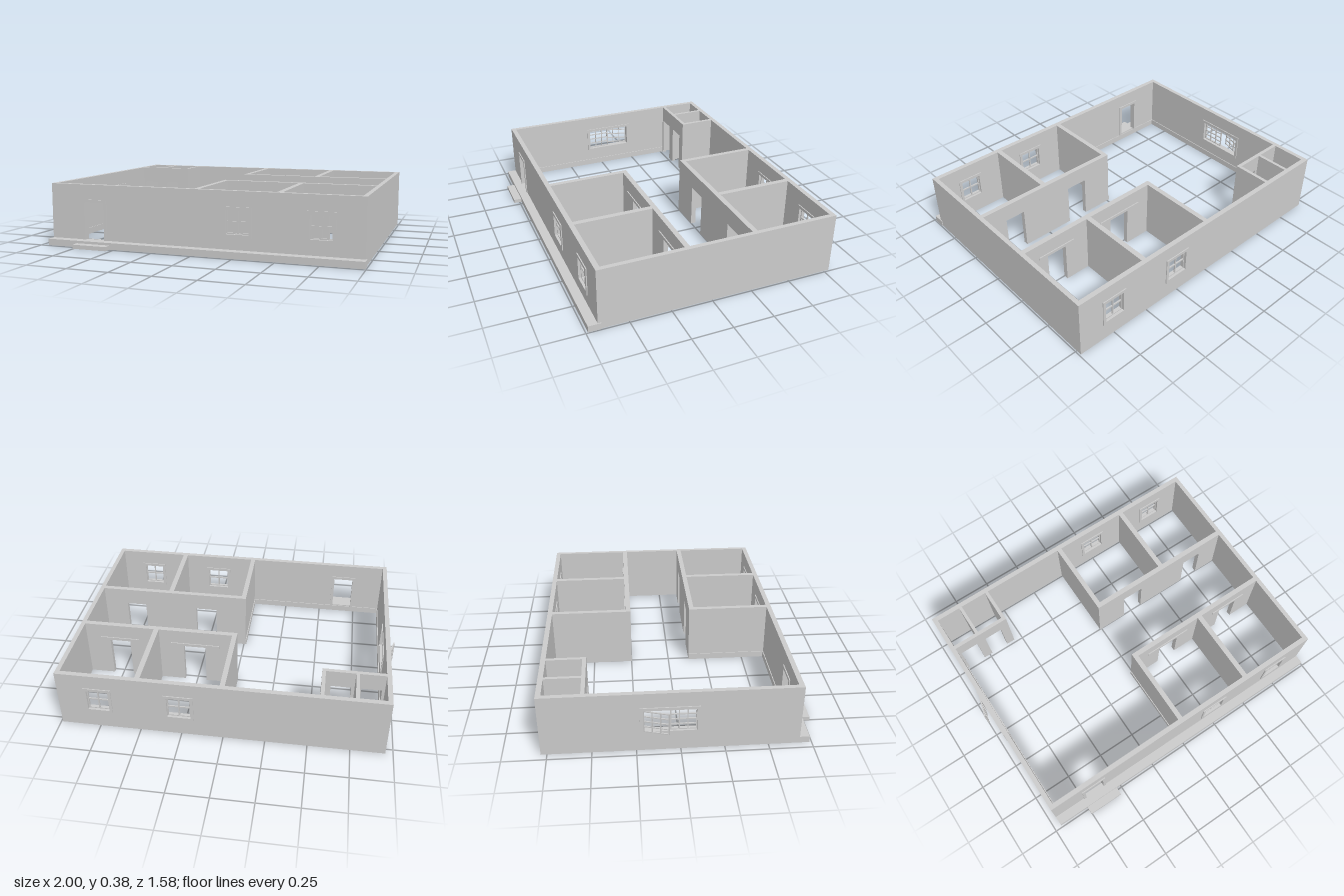
import * as THREE from 'three';

const H = 0.38, HEAD = 0.27, SILL = 0.13;

export function createModel() {
  const house = new THREE.Group();
  house.name = 'house';
  const mat = new THREE.MeshStandardMaterial({ color: 0xcccccc, flatShading: true });

  function add(name, geo) {
    const mesh = new THREE.Mesh(geo, mat);
    mesh.name = name;
    house.add(mesh);
    return mesh;
  }

  function box(name, x0, x1, y0, y1, z0, z1) {
    const geo = new THREE.BoxGeometry(x1 - x0, y1 - y0, z1 - z0);
    geo.translate((x0 + x1) / 2, (y0 + y1) / 2, (z0 + z1) / 2);
    return add(name, geo);
  }

  // Upright slab along x or z: u0..u1 long, y0..y1 high, d0..d1 thick.
  // An opening [a, b, low, high] reaching the slab's foot becomes a notch (doorway).
  function slab(name, axis, u0, u1, d0, d1, openings = [], y0 = 0, y1 = H) {
    const shape = new THREE.Shape();
    shape.moveTo(u0, y0);
    for (const [a, b, low, high] of openings) {
      if (low > y0) {
        const hole = new THREE.Path();
        hole.moveTo(a, low).lineTo(a, high).lineTo(b, high).lineTo(b, low).closePath();
        shape.holes.push(hole);
      } else {
        shape.lineTo(a, y0).lineTo(a, high).lineTo(b, high).lineTo(b, y0);
      }
    }
    shape.lineTo(u1, y0).lineTo(u1, y1).lineTo(u0, y1).closePath();
    const geo = new THREE.ExtrudeGeometry(shape, { depth: d1 - d0, bevelEnabled: false });
    if (axis === 'x') geo.translate(0, 0, d0);
    else geo.rotateY(-Math.PI / 2).translate(d1, 0, 0);
    return add(name, geo);
  }

  // Flat trim around an opening, on both faces of a wall
  function trim(name, axis, [a, b, low, high], d0, d1, w = 0.018, t = 0.006) {
    const foot = low > 0.05 ? low - w : low;
    for (const [p, q] of [[d0 - t, d0], [d1, d1 + t]])
      slab(name, axis, a - w, b + w, p, q, [[a, b, low, high]], foot, high + w);
  }

  const windows = [[0.19, 0.33, SILL, HEAD], [0.68, 0.81, SILL, HEAD]];
  const doors = [[0.19, 0.33, 0, HEAD], [0.68, 0.81, 0, HEAD]];
  const frontDoor = [-0.725, -0.595, 0, HEAD];
  const sideWindow = [-0.21, 0.09, SILL, HEAD];

  // Outer walls
  slab('frontWall', 'x', -0.955, 0.99, 0.65, 0.68, [frontDoor, ...windows]);
  slab('backWall', 'x', -0.955, 0.99, -0.785, -0.755, windows);
  slab('rightSideWall', 'z', -0.755, 0.65, -0.955, -0.927, [sideWindow]);
  slab('leftSideWall', 'z', -0.755, 0.65, 0.963, 0.99);

  // Bedroom walls, front and back of the hall
  slab('frontHallWall', 'x', -0.012, 0.963, 0.137, 0.168, doors);
  slab('backHallWall', 'x', -0.012, 0.963, -0.28, -0.248, doors);
  for (const [z0, z1] of [[0.168, 0.65], [-0.755, -0.28]]) {
    slab('bedroomEndWall', 'z', z0, z1, -0.012, 0.018);
    slab('bedroomDivider', 'z', z0, z1, 0.485, 0.517);
  }

  // Small washrooms in the back corner
  slab('washroomFront', 'x', -0.927, -0.553, -0.543, -0.52,
    [[-0.91, -0.79, 0, HEAD], [-0.73, -0.61, 0, HEAD]]);
  slab('washroomDivider', 'z', -0.755, -0.543, -0.77, -0.75);
  slab('washroomEndWall', 'z', -0.755, -0.543, -0.575, -0.553);

  // Window trim and crossed glazing bars
  for (const [z0, z1] of [[0.65, 0.68], [-0.785, -0.755]]) {
    for (const win of windows) {
      trim('windowTrim', 'x', win, z0, z1);
      const [a, b, low, high] = win;
      const m = (a + b) / 2, z = (z0 + z1) / 2, y = (low + high) / 2;
      slab('windowSash', 'x', a, b, z - 0.005, z + 0.005,
        [[a + 0.006, b - 0.006, low + 0.006, high - 0.006]], low, high);
      box('glazingBar', m - 0.004, m + 0.004, low, high, z - 0.004, z + 0.004);
      box('glazingBar', a, b, y - 0.004, y + 0.004, z - 0.004, z + 0.004);
    }
  }

  // Door trim and bedroom lintels
  trim('frontDoorTrim', 'x', [frontDoor[0], frontDoor[1], 0.04, HEAD], 0.65, 0.68);
  for (const [x0, x1] of [[0.1, 0.41], [0.62, 0.87]]) {
    box('bedroomLintel', x0, x1, HEAD, HEAD + 0.018, 0.168, 0.174);
    box('bedroomLintel', x0, x1, HEAD, HEAD + 0.018, -0.286, -0.28);
  }

  // Side window: one barred casement closed, the other swung outward
  trim('sideWindowTrim', 'z', sideWindow, -0.955, -0.927);
  const [wa, wb] = sideWindow, half = (wb - wa) / 2;
  function casement(name) {
    const panes = [];
    const cols = 3, rows = 4, bar = 0.006;
    const pw = (half - bar) / cols, ph = (HEAD - SILL - bar) / rows;
    for (let i = 0; i < cols; i++)
      for (let j = 0; j < rows; j++)
        panes.push([i * pw + bar, (i + 1) * pw, SILL + j * ph + bar, SILL + (j + 1) * ph]);
    return slab(name, 'z', 0, half, -0.004, 0.004, panes, SILL, HEAD);
  }
  casement('closedCasement').position.set(-0.945, 0, wa + half);
  const open = casement('openCasement');
  open.position.set(-0.955, 0, wa);
  open.rotation.y = -0.28;

  // Front plinth, door step and living room skirting
  box('frontPlinth', -0.955, 0.995, 0, 0.04, 0.66, 0.737);
  box('doorStep', -0.755, -0.53, 0, 0.025, 0.737, 0.787);
  box('skirting', -0.927, -0.922, 0, 0.04, -0.52, 0.65);
  box('skirting', -0.922, -0.017, 0, 0.04, 0.645, 0.65);
  box('skirting', -0.017, -0.012, 0, 0.04, 0.137, 0.65);

  return house;
}
